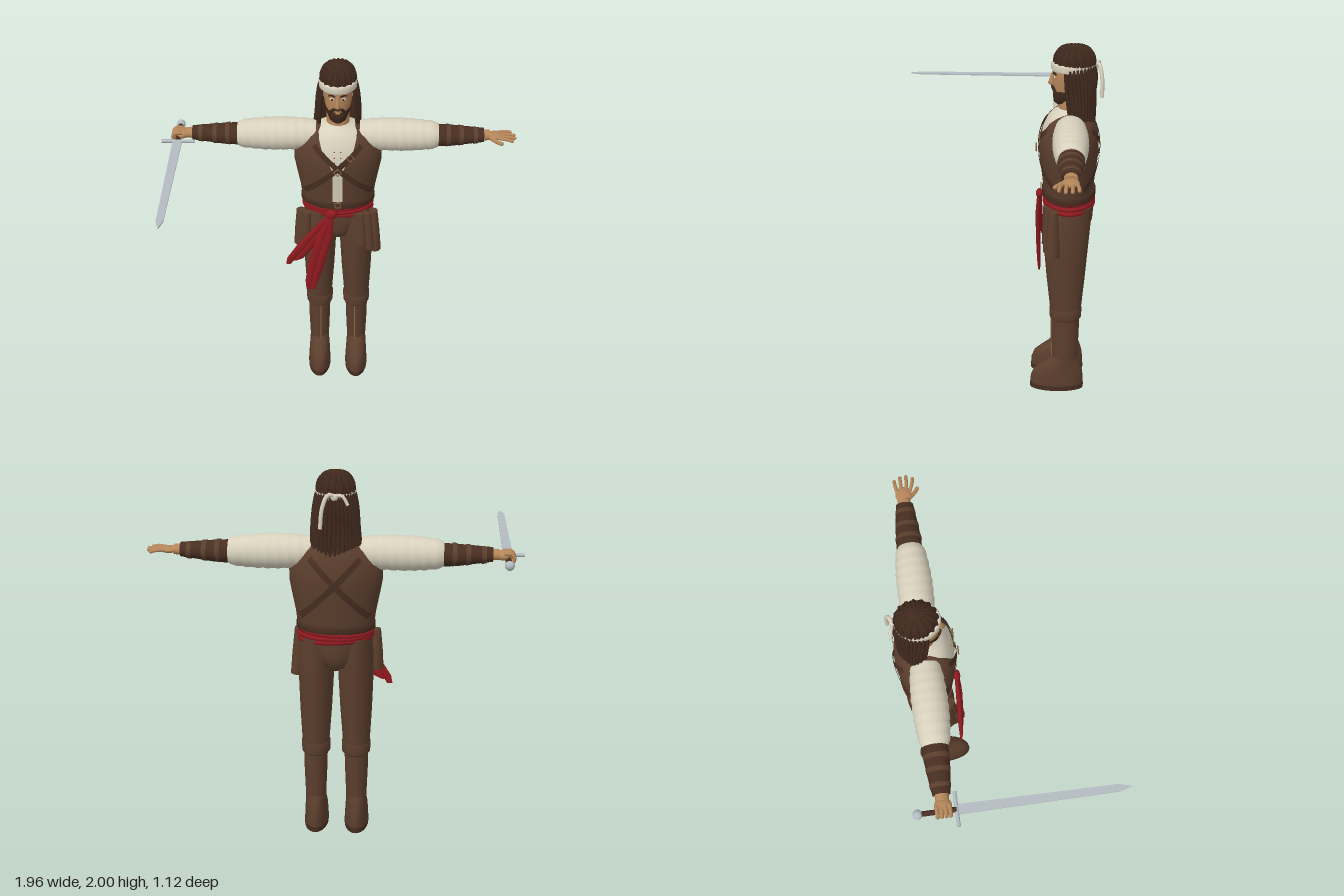
import * as THREE from 'three';

const mat = (name, color) => {
  const m = new THREE.MeshStandardMaterial({ color, side: THREE.DoubleSide });
  m.name = name;
  return m;
};

export function createModel() {
  const leather = mat('brown leather', 0x5b3e2d), dark = mat('dark leather', 0x472e21);
  const hairMat = mat('dark hair', 0x40291d), skin = mat('skin', 0xb5865a);
  const cream = mat('cream cloth', 0xd8d1bd), red = mat('red cloth', 0x8f1a20);
  const steel = mat('steel', 0xb3bcc1), brass = mat('worn brass', 0x8a6740);
  const root = new THREE.Group();

  const add = (name, geo, material, x = 0, y = 0, z = 0, parent = root) => {
    const m = new THREE.Mesh(geo, material);
    m.name = name;
    m.position.set(x, y, z);
    parent.add(m);
    return m;
  };

  // Skin through elliptical rings [t, a, b, ra, rb, gap]; gap is a half angle left open at the front
  const loft = (rings, axis = 'y', n = 28) => {
    const pos = [], idx = [], open = rings.some(r => r[5]);
    const put = (t, a, b) => pos.push(...(axis === 'y' ? [a, t, b] : [t, a, b]));
    const ring = ([t, a, b, ra, rb, g = 0]) => {
      for (let j = 0; j < (open ? n + 1 : n); j++) {
        const th = Math.PI / 2 + g + (2 * Math.PI - 2 * g) * j / n;
        put(t, a + ra * Math.cos(th), b + rb * Math.sin(th));
      }
    };
    const flip = (axis === 'x') !== (rings[rings.length - 1][0] < rings[0][0]);
    const tri = (a, b, c) => flip ? idx.push(a, c, b) : idx.push(a, b, c);
    const w = open ? n + 1 : n;
    rings.forEach(ring);
    for (let i = 0; i < rings.length - 1; i++) for (let j = 0; j < n; j++) {
      const a = i * w + j, b = i * w + (j + 1) % w;
      tri(a, a + w, b);
      tri(b, a + w, b + w);
    }
    if (!open) [rings[0], rings[rings.length - 1]].forEach((r, k) => {
      const s = pos.length / 3;
      ring(r);
      put(r[0], r[1], r[2]);
      for (let j = 0; j < n; j++) {
        const p = s + j, q = s + (j + 1) % n;
        k ? tri(p, s + n, q) : tri(p, q, s + n);
      }
    });
    const g = new THREE.BufferGeometry();
    g.setAttribute('position', new THREE.Float32BufferAttribute(pos, 3));
    g.setIndex(idx);
    g.computeVertexNormals();
    return g;
  };
  const tube = (pts, r, n = 10, sides = 6) => new THREE.TubeGeometry(
    new THREE.CatmullRomCurve3(pts.map(p => new THREE.Vector3(...p))), n, r, sides);
  const ball = (name, m, x, y, z, sx, sy, sz, parent) => {
    const b = add(name, new THREE.SphereGeometry(1, 18, 12), m, x, y, z, parent);
    b.scale.set(sx, sy, sz);
    return b;
  };

  // Torso: shirt inside an open vest
  const body = [[1.17, 0, -.385, .2, .135, .14], [1.25, 0, -.385, .21, .142, .13], [1.35, 0, -.384, .23, .155, .12],
    [1.42, 0, -.383, .243, .162, .12], [1.48, 0, -.383, .243, .16, .24], [1.54, 0, -.385, .225, .15, .4],
    [1.59, 0, -.388, .185, .13, .58], [1.62, 0, -.39, .14, .11, .85], [1.635, 0, -.395, .1, .09, 1.2]];
  add('vest', loft(body, 'y', 48), leather);
  add('shirt', loft([...body.map(r => [r[0], r[1], r[2], r[3] - .008, r[4] - .008]),
    [1.65, 0, -.39, .065, .065]], 'y', 40), cream);

  // Ribbons that follow the chest or the back
  const strap = (name, x0, y0, x1, y1, side, width = .032) => {
    const n = 16, pos = [], idx = [], len = Math.hypot(x1 - x0, y1 - y0);
    const ox = -(y1 - y0) / len * width / 2, oy = (x1 - x0) / len * width / 2;
    for (let i = 0; i <= n; i++) for (const s of [-1, 1]) {
      const x = x0 + (x1 - x0) * i / n + ox * s, y = y0 + (y1 - y0) * i / n + oy * s;
      let k = 0;
      while (k < body.length - 2 && body[k + 1][0] < y) k++;
      const [p, q] = [body[k], body[k + 1]], f = (y - p[0]) / (q[0] - p[0]);
      const mix = c => p[c] + (q[c] - p[c]) * f + .007;
      pos.push(x, y, -.385 + side * mix(4) * Math.sqrt(Math.max(0, 1 - (x / mix(3)) ** 2)));
    }
    for (let i = 0; i < n; i++) {
      const a = i * 2;
      side > 0 === x1 < x0 ? idx.push(a, a + 1, a + 2, a + 1, a + 3, a + 2) : idx.push(a, a + 2, a + 1, a + 1, a + 2, a + 3);
    }
    const g = new THREE.BufferGeometry();
    g.setAttribute('position', new THREE.Float32BufferAttribute(pos, 3));
    g.setIndex(idx);
    g.computeVertexNormals();
    add(name, g, dark);
  };
  for (const s of [-1, 1]) {
    strap('chestStrap', s * .13, 1.56, -s * .19, 1.25, 1);
    strap('backStrap', s * .13, 1.56, -s * .18, 1.24, -1);
  }
  const buckle = (x, y, z, turn) => {
    const b = add('buckle', new THREE.TorusGeometry(.022, .004, 6, 4), brass, x, y, z);
    b.rotation.z = turn;
  };
  buckle(.07, 1.502, -.226, 0);
  buckle(0, 1.42, -.208, 0);
  buckle(0, 1.19, -.236, Math.PI / 4);
  for (let i = 0; i < 4; i++) for (const s of [-1, 1])
    ball('shirtLaceHole', brass, s * .018, 1.47 + i * .03, -.226 - i * i * .004, .004, .004, .004);

  // Belt and wound sash
  add('belt', loft([[1.155, 0, -.388, .198, .138], [1.163, 0, -.388, .208, .147], [1.192, 0, -.388, .208, .147],
    [1.2, 0, -.388, .198, .138]], 'y', 36), dark);
  [1.112, 1.13, 1.15].forEach((y, i) => {
    const t = add('sashWrap', new THREE.TorusGeometry(.19, .013, 8, 40), red, 0, y, -.39);
    t.rotation.set(Math.PI / 2, (i - 1) * .04, 0);
    t.scale.set(1, .71, 1);
  });
  ball('sashKnot', red, -.035, 1.135, -.228, .032, .026, .02);
  for (const d of [-1, 1]) {
    add('sashTailOuter', loft([[1.13, -.04, -.23, .015, .01], [1.03, -.105 + d * .016, -.23, .026, .013],
      [.92, -.18 + d * .022, -.235, .03, .012], [.83, -.243 + d * .022, -.24, .024, .01],
      [.8 + d * .012, -.265 + d * .017, -.243, .015, .006]], 'y', 14), red);
    add('sashTailInner', loft([[1.13, -.035, -.225, .015, .01], [1, -.07 + d * .017, -.22, .026, .013],
      [.82, -.118 + d * .021, -.224, .028, .013], [.68, -.148 + d * .016, -.228, .022, .01],
      [.62, -.155 + d * .012, -.23, .014, .006]], 'y', 14), red);
  }

  // Hips, hip pouch and hanging leather panels
  add('hips', loft([[1.17, 0, -.388, .195, .135], [1.08, 0, -.388, .185, .137], [1.01, 0, -.386, .13, .135],
    [.96, 0, -.385, .08, .12], [.93, 0, -.385, .03, .07]]), leather);
  const panel = (name, x, y0, y1, z, w, d, tilt) => {
    const p = add(name, loft([[y0, 0, 0, w * .56, d * .55], [(y0 + y1) / 2, 0, 0, w * .52, d * .5],
      [y1, 0, 0, w * .42, d * .35]], 'y', 10), leather, x, 0, z);
    p.geometry.translate(0, -y1, 0);
    p.position.y = y1;
    p.rotation.z = tilt;
  };
  panel('hipPouch', -.205, .9, 1.12, -.305, .07, .08, -.03);
  panel('hipPouchFlap', -.175, .96, 1.12, -.275, .055, .05, -.04);
  panel('hipPanelInner', .125, .91, 1.12, -.262, .05, .03, .05);
  panel('hipPanelMiddle', .165, .88, 1.12, -.275, .05, .04, .08);
  panel('hipPanelOuter', .2, .86, 1.12, -.305, .06, .07, .06);

  for (const s of [-1, 1]) {
    // Leg, knee cuff and boot
    add('trouserLeg', loft([[1.12, s * .1, -.387, .088, .125], [1.02, s * .104, -.382, .094, .128],
      [.9, s * .105, -.378, .094, .123], [.7, s * .107, -.38, .085, .106], [.5, s * .109, -.383, .072, .086],
      [.45, s * .109, -.383, .068, .08]]), leather);
    add('kneeCuff', loft([[.44, s * .108, -.383, .066, .078], [.452, s * .108, -.383, .076, .088],
      [.505, s * .108, -.383, .078, .09], [.52, s * .108, -.383, .068, .082]]), leather);
    add('bootShaft', loft([[.46, s * .109, -.383, .064, .078], [.35, s * .11, -.383, .062, .077],
      [.18, s * .11, -.385, .055, .07]]), leather);
    add('boot', loft([[.03, s * .11, -.34, .064, .149], [.07, s * .11, -.341, .063, .148], [.11, s * .11, -.346, .061, .138],
      [.14, s * .11, -.36, .058, .117], [.17, s * .11, -.377, .056, .09], [.2, s * .11, -.384, .055, .071]]), leather);
    add('bootSole', loft([[0, s * .11, -.34, .065, .151], [.028, s * .11, -.34, .066, .152]]), dark);
    add('bootSeam', new THREE.BoxGeometry(.006, .25, .006), brass, s * .1, .32, -.306).rotation.x = .03;

    // Puffed sleeve with soft creases
    const sleeve = [];
    for (let i = 0; i <= 24; i++) {
      const f = i / 24, r = .058 + .033 * Math.pow(Math.sin(Math.PI * (.13 + f * .8)), .6)
        + .0022 * Math.sin(i * 2.1) - (f > .97 ? .008 : 0);
      sleeve.push([s * (.12 + .435 * f), 1.568 - .006 * f, -.39, r, r * 1.03]);
    }
    add('shirtSleeve', loft(sleeve, 'x'), cream);

    // Forearm, bracer and bands
    add('forearm', loft([[s * .52, 1.56, -.392, .052, .06], [s * .8, 1.565, -.39, .03, .036],
      [s * .84, 1.565, -.39, .026, .034]], 'x', 20), skin);
    add('bracer', loft([[s * .555, 1.56, -.393, .06, .068], [s * .63, 1.56, -.392, .056, .065],
      [s * .72, 1.563, -.391, .046, .056], [s * .805, 1.565, -.39, .037, .046]], 'x', 24), dark);
    [[.61, .058, .067], [.68, .052, .061], [.76, .043, .052]].forEach(([x, ry, rz]) =>
      add('bracerBand', loft([[s * (x - .012), 1.562, -.391, ry + .003, rz + .003],
        [s * (x + .012), 1.562, -.391, ry, rz]], 'x', 24), leather));
  }

  // Open left hand
  ball('leftPalm', skin, .865, 1.563, -.388, .05, .017, .044);
  for (let i = 0; i < 4; i++) {
    const z = -.42 + i * .022, e = [.955, .972, .975, .958][i];
    add('leftFinger', tube([[.88, 1.565, z], [.93, 1.566, z * 1.4 + .16], [e, 1.56, z * 1.5 + .2]], .0095, 6, 8), skin);
    ball('leftFingertip', skin, e, 1.56, z * 1.5 + .2, .0095, .0095, .0095);
  }
  add('leftThumb', tube([[.84, 1.56, -.365], [.875, 1.555, -.33], [.9, 1.553, -.312]], .011, 6, 8), skin);
  ball('leftThumbTip', skin, .9, 1.553, -.312, .011, .011, .011);

  // Right fist and sword
  ball('rightPalm', skin, -.86, 1.562, -.39, .04, .026, .045);
  for (let i = 0; i < 4; i++) {
    const z = -.423 + i * .022;
    add('rightFinger', tube([[-.86, 1.578, z], [-.9, 1.575, z], [-.914, 1.55, z], [-.895, 1.527, z], [-.87, 1.53, z]],
      .0105, 10, 8), skin);
  }
  const blade = new THREE.Shape([[-.026, -.32], [.026, -.32], [.019, .49], [0, .555], [-.019, .49]]
    .map(p => new THREE.Vector2(...p)));
  add('swordBlade', new THREE.ExtrudeGeometry(blade, { depth: .007, bevelEnabled: false }).rotateX(Math.PI / 2),
    steel, -.885, 1.549, 0);
  add('swordGuard', new THREE.CylinderGeometry(.01, .01, .18, 12).rotateZ(Math.PI / 2), steel, -.882, 1.545, -.325);
  add('swordGrip', new THREE.CylinderGeometry(.014, .014, .18, 12).rotateX(Math.PI / 2), dark, -.885, 1.545, -.415);
  ball('swordPommel', steel, -.885, 1.545, -.52, .025, .025, .025);

  // Head and face
  add('neck', loft([[1.59, 0, -.385, .075, .075], [1.64, 0, -.39, .064, .066], [1.74, 0, -.395, .062, .066]]), skin);
  add('head', loft([[1.675, 0, -.35, .022, .026], [1.69, 0, -.36, .042, .052], [1.73, 0, -.375, .062, .077],
    [1.78, 0, -.385, .074, .092], [1.84, 0, -.393, .08, .1], [1.9, 0, -.398, .08, .1], [1.95, 0, -.4, .06, .08]]), skin);
  add('nose', loft([[1.775, 0, -.29, .012, .012], [1.785, 0, -.285, .018, .02], [1.8, 0, -.287, .012, .016],
    [1.845, 0, -.295, .008, .01]], 'y', 12), skin);
  add('beard', loft([[1.668, 0, -.345, .022, .028], [1.685, 0, -.355, .046, .058], [1.715, 0, -.369, .06, .075],
    [1.74, 0, -.378, .069, .084], [1.752, 0, -.38, .069, .08]]), hairMat);
  add('mouth', new THREE.BoxGeometry(.026, .006, .006), skin, 0, 1.743, -.293);
  for (const s of [-1, 1]) {
    add('moustache', tube([[0, 1.768, -.29], [s * .022, 1.766, -.294], [s * .038, 1.745, -.308]], .009, 8), hairMat);
    ball('eyeWhite', cream, s * .03, 1.826, -.301, .014, .007, .006);
    ball('iris', hairMat, s * .03, 1.826, -.296, .006, .006, .003);
    add('eyebrow', tube([[s * .013, 1.842, -.295], [s * .03, 1.849, -.298], [s * .05, 1.843, -.31]], .005, 6), hairMat);
    ball('ear', skin, s * .08, 1.82, -.4, .012, .028, .018);
  }

  // Hair: shell open around the face, then rows of hanging locks
  add('hairCrown', loft([[1.87, 0, -.405, .092, .104], [1.91, 0, -.405, .094, .107], [1.95, 0, -.405, .085, .097],
    [1.98, 0, -.405, .06, .07], [1.995, 0, -.405, .028, .035], [2, 0, -.405, .005, .005]]), hairMat);
  add('hairBack', loft([[1.9, 0, -.405, .094, .106, 1.05], [1.8, 0, -.408, .1, .106, 1.35],
    [1.7, 0, -.415, .104, .1, 1.75], [1.61, 0, -.425, .1, .09, 1.95]], 'y', 32), hairMat);
  for (let row = 0; row < 2; row++) for (let i = 0; i < 21; i++) {
    const a = (i / 20 * 2 - 1) * (2.05 - row * .25), wob = Math.sin(i * 12.9 + row * 5);
    const sx = Math.sin(a), cz = Math.cos(a), o = row * .008;
    add('hairLock', tube([[sx * .088, 1.925, -.405 - cz * .1], [sx * (.103 + o), 1.82, -.41 - cz * (.104 + o)],
      [sx * (.113 + o), 1.7, -.42 - cz * .095 + wob * .006],
      [sx * (.118 + o) + wob * .006, 1.585 + wob * .025 + row * .04, -.43 - cz * .085]], .0105 - row * .001, 10, 6), hairMat);
  }
  for (let i = 0; i < 16; i++) {
    const a = i / 16 * Math.PI * 2, sx = Math.sin(a), cz = Math.cos(a);
    add('crownLock', tube([[sx * .012, 1.99, -.405 - cz * .012], [sx * .062, 1.976, -.405 - cz * .072],
      [sx * .091, 1.935, -.405 - cz * .103], [sx * .094, 1.895, -.405 - cz * .107]], .009, 8, 6), hairMat);
  }

  // Headband and its loose ends
  add('headband', loft([[1.86, 0, -.4, .1, .113], [1.866, 0, -.4, .105, .118], [1.895, 0, -.4, .106, .119],
    [1.902, 0, -.4, .1, .113]], 'y', 36), cream);
  ball('headbandKnot', cream, 0, 1.885, -.522, .02, .018, .012);
  add('headbandTailLong', tube([[0, 1.89, -.52], [.03, 1.9, -.535], [.058, 1.84, -.55], [.07, 1.73, -.553]], .011, 14, 8), cream);
  add('headbandTailShort', tube([[0, 1.89, -.52], [-.04, 1.895, -.535], [-.07, 1.85, -.54]], .009, 10, 8), cream);

  return root;
}
